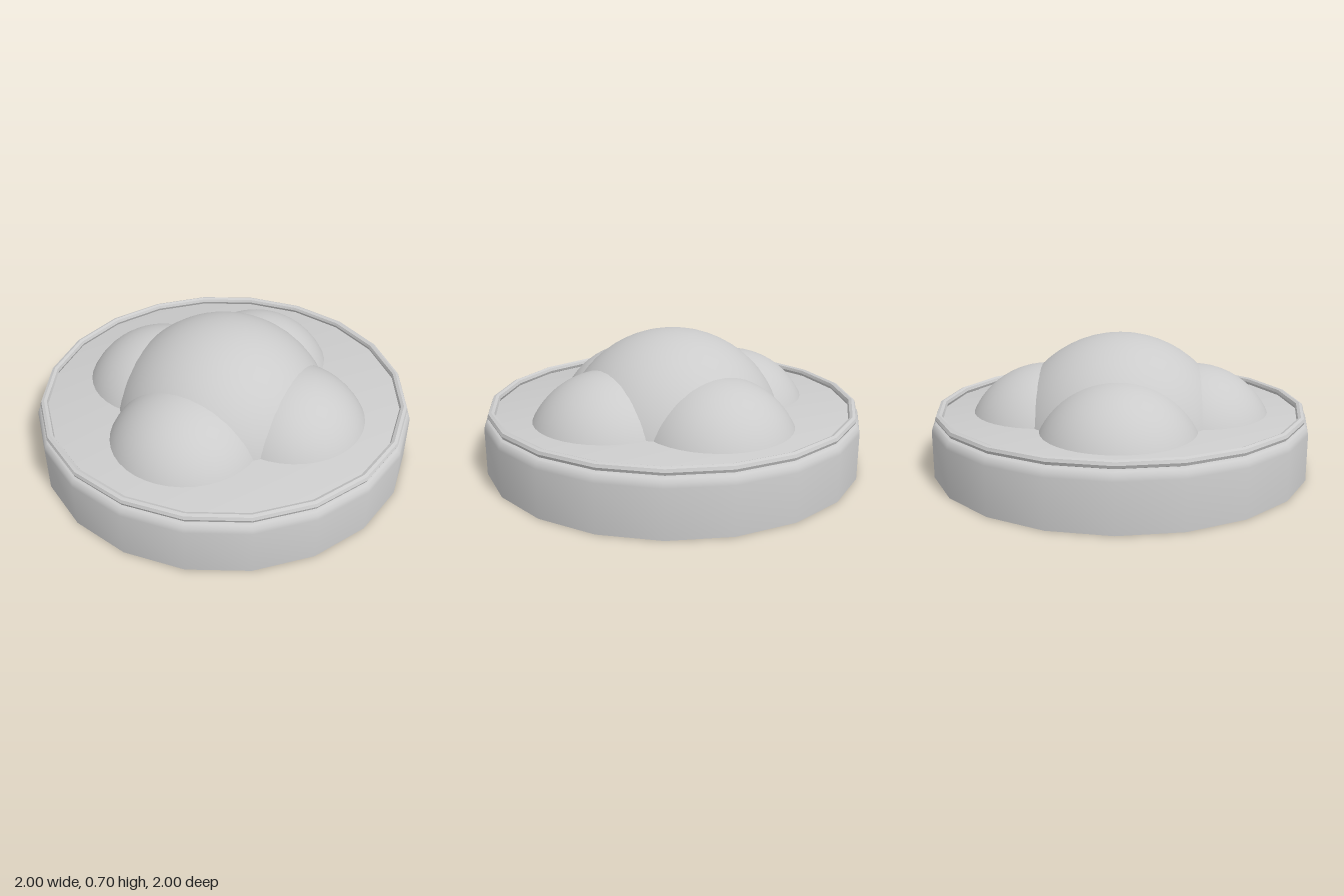
import * as THREE from 'three';
import { toCreasedNormals } from 'three/addons/utils/BufferGeometryUtils.js';

const SIDES = 20;

export function createModel() {
  const model = new THREE.Group();
  const material = new THREE.MeshStandardMaterial({ color: 0xcccccc });

  function add(name, geometry, x = 0, y = 0, z = 0) {
    const mesh = new THREE.Mesh(geometry, material);
    mesh.name = name;
    mesh.position.set(x, y, z);
    model.add(mesh);
    return mesh;
  }

  // Closed round base with a softened upper edge and a flat top
  const profile = [
    [0, 0], [1, 0], [1, 0.245], [0.995, 0.267], [0.982, 0.283], [0.96, 0.29], [0, 0.29],
  ].map(([r, y]) => new THREE.Vector2(r, y));
  add('base', toCreasedNormals(new THREE.LatheGeometry(profile, SIDES), 0.6));

  // Raised lip around the top
  const lip = new THREE.TorusGeometry(0.96, 0.021, 8, SIDES);
  lip.rotateX(Math.PI / 2);
  add('rimLip', toCreasedNormals(lip, 0.6), 0, 0.31, 0);

  // Domes rise from inside the base, their lower edges hidden under its top
  const dome = (radius) => new THREE.SphereGeometry(radius, 40, 16, 0, Math.PI * 2, 0, Math.PI / 2);
  add('centerDome', dome(0.602), 0, 0.1, 0);

  // Four smaller domes around the centre
  const sideDome = dome(0.435);
  const names = ['leftDome', 'frontDome', 'rightDome', 'backDome'];
  names.forEach((name, i) => {
    const a = (i * Math.PI) / 2;
    add(name, sideDome, 0.395 * Math.cos(a), 0.1, 0.395 * Math.sin(a));
  });

  return model;
}
